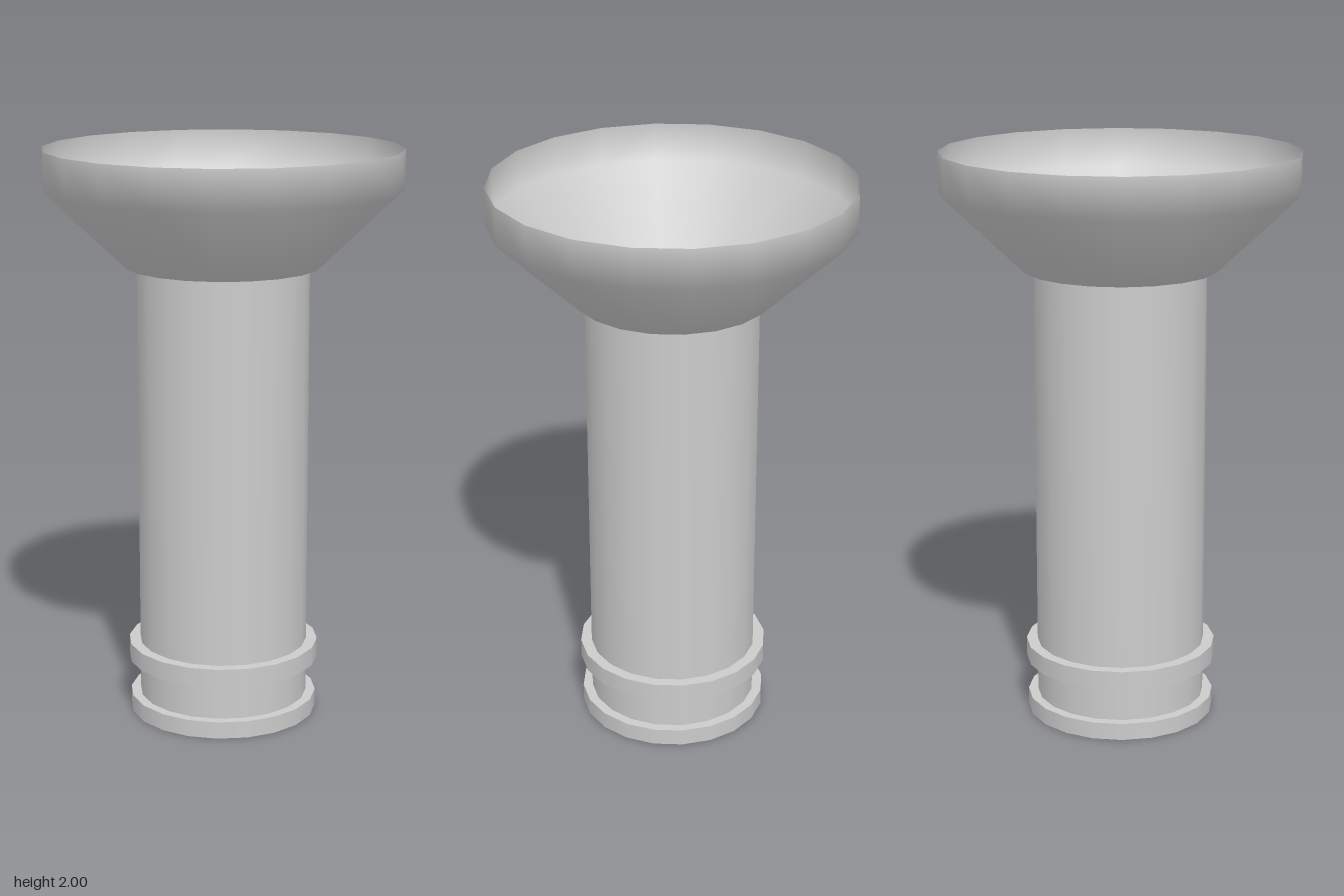
import * as THREE from 'three';
import { mergeGeometries } from 'three/addons/utils/BufferGeometryUtils.js';

const SIDES = 20;
const material = new THREE.MeshStandardMaterial({ color: 0xcccccc, side: THREE.DoubleSide });

// Smooth around the axis, listed from bottom to top as [radius, height].
const lathe = (points) =>
  new THREE.LatheGeometry(points.map(([r, y]) => new THREE.Vector2(r, y)), SIDES);

// Each profile segment is its own band, so the steps stay sharp.
const steppedLathe = (points) =>
  mergeGeometries(points.slice(1).map((p, i) => lathe([points[i], p])));

function part(name, geometry) {
  const mesh = new THREE.Mesh(geometry, material);
  mesh.name = name;
  return mesh;
}

export function createModel() {
  const model = new THREE.Group();
  model.name = 'funnelToppedTube';

  // Thin hollow tube, open at the bottom, swelling into two hollow collars
  model.add(part('tubeWithCollars', steppedLathe([
    [0.331, 0], [0.331, 0.06], [0.297, 0.06],
    [0.297, 0.19], [0.336, 0.19], [0.336, 0.255], [0.297, 0.255],
    [0.297, 1.6],
  ])));

  // Flared bowl with a short upright rim, shaded smoothly across the bend
  model.add(part('bowl', lathe([[0.337, 1.6], [0.614, 1.865], [0.614, 2]])));

  // Flat floor of the bowl, closing the top of the tube
  model.add(part('bowlFloor', lathe([[0, 1.6], [0.337, 1.6]])));

  return model;
}
